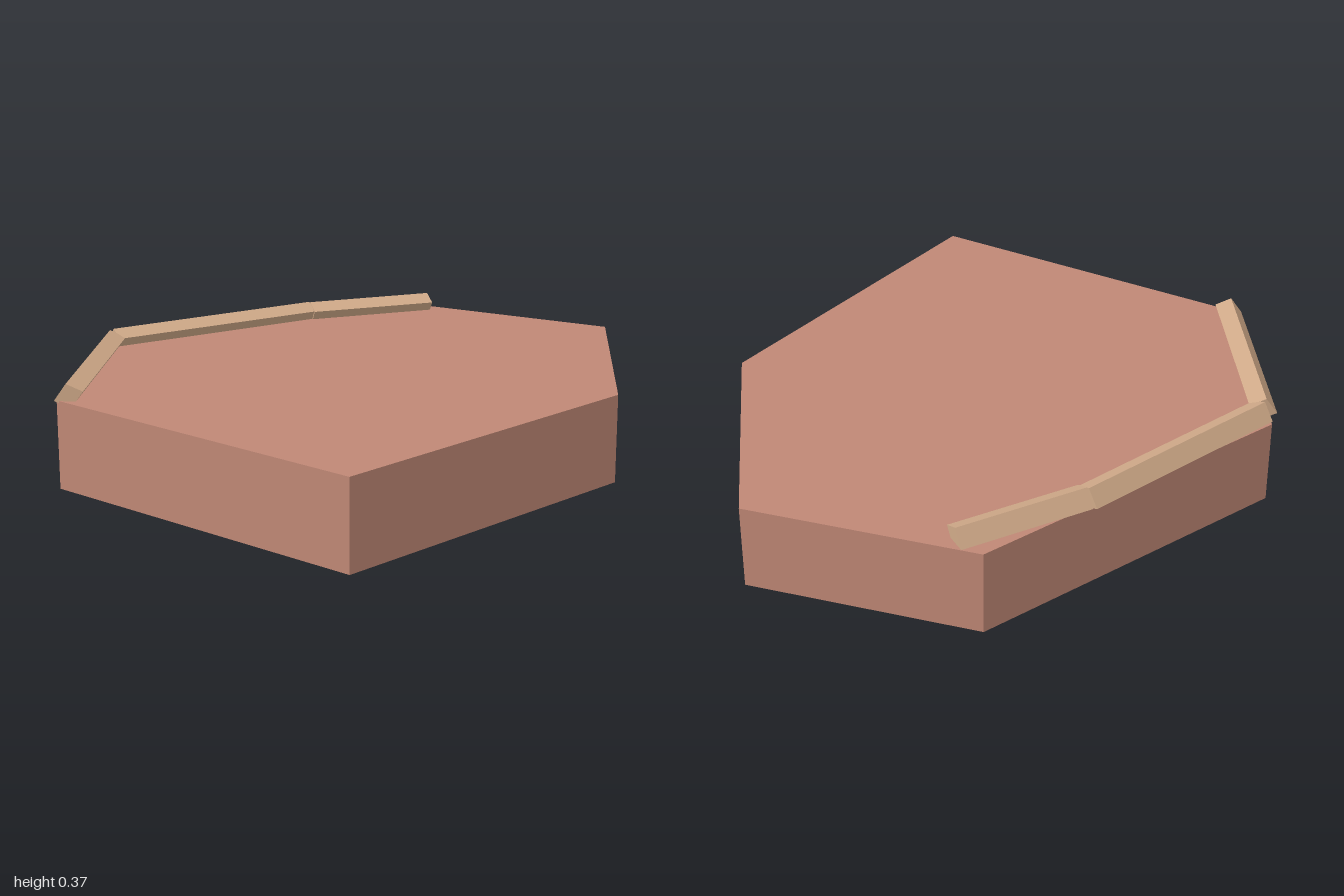
import * as THREE from 'three';

const clay = new THREE.MeshStandardMaterial({ name: 'terracotta clay', color: 0xbf8775 });
const tan = new THREE.MeshStandardMaterial({ name: 'sandy tan', color: 0xcfa988 });

const toShape = (pts) => new THREE.Shape(pts.map(([x, y]) => new THREE.Vector2(x, y)));

// Irregular hexagonal slab, outline given as x, z
function makeSlab() {
  const outline = [[-0.99, -0.5], [-0.99, 0.76], [0.245, 0.915], [0.997, 0.385], [0.82, -0.43], [-0.33, -0.917]];
  const geo = new THREE.ExtrudeGeometry(toShape(outline.map(([x, z]) => [x, -z])), { depth: 0.31, bevelEnabled: false });
  geo.rotateX(-Math.PI / 2);
  const slab = new THREE.Mesh(geo, clay);
  slab.name = 'slab';
  return slab;
}

// Tilted rim bar; its outer edge runs from (x0, z0) to (x1, z1)
function makeRimBar(x0, z0, x1, z1) {
  // Cross-section: distance outward from the outer edge, height
  const section = toShape([[-0.1, 0.345], [-0.058, 0.287], [0, 0.31], [-0.042, 0.37]]);
  const along = new THREE.Vector3(x1 - x0, 0, z1 - z0);
  const geo = new THREE.ExtrudeGeometry(section, { depth: along.length(), bevelEnabled: false });
  along.normalize();
  const outward = new THREE.Vector3(along.z, 0, -along.x);
  geo.applyMatrix4(new THREE.Matrix4().makeBasis(outward, new THREE.Vector3(0, 1, 0), along).setPosition(x0, 0, z0));
  return new THREE.Mesh(geo, tan);
}

export function createModel() {
  const model = new THREE.Group();
  model.name = 'slabWithRim';
  model.add(makeSlab());

  // Three bars along the back edge
  const rim = new THREE.Group();
  rim.name = 'rim';
  [[-1, -0.503, -0.406, -0.904], [-0.347, -0.912, 0.422, -0.626], [0.428, -0.615, 0.834, -0.358]].forEach((ends, i) => {
    const bar = makeRimBar(...ends);
    bar.name = ['rightRimBar', 'middleRimBar', 'leftRimBar'][i];
    rim.add(bar);
  });
  model.add(rim);
  return model;
}
